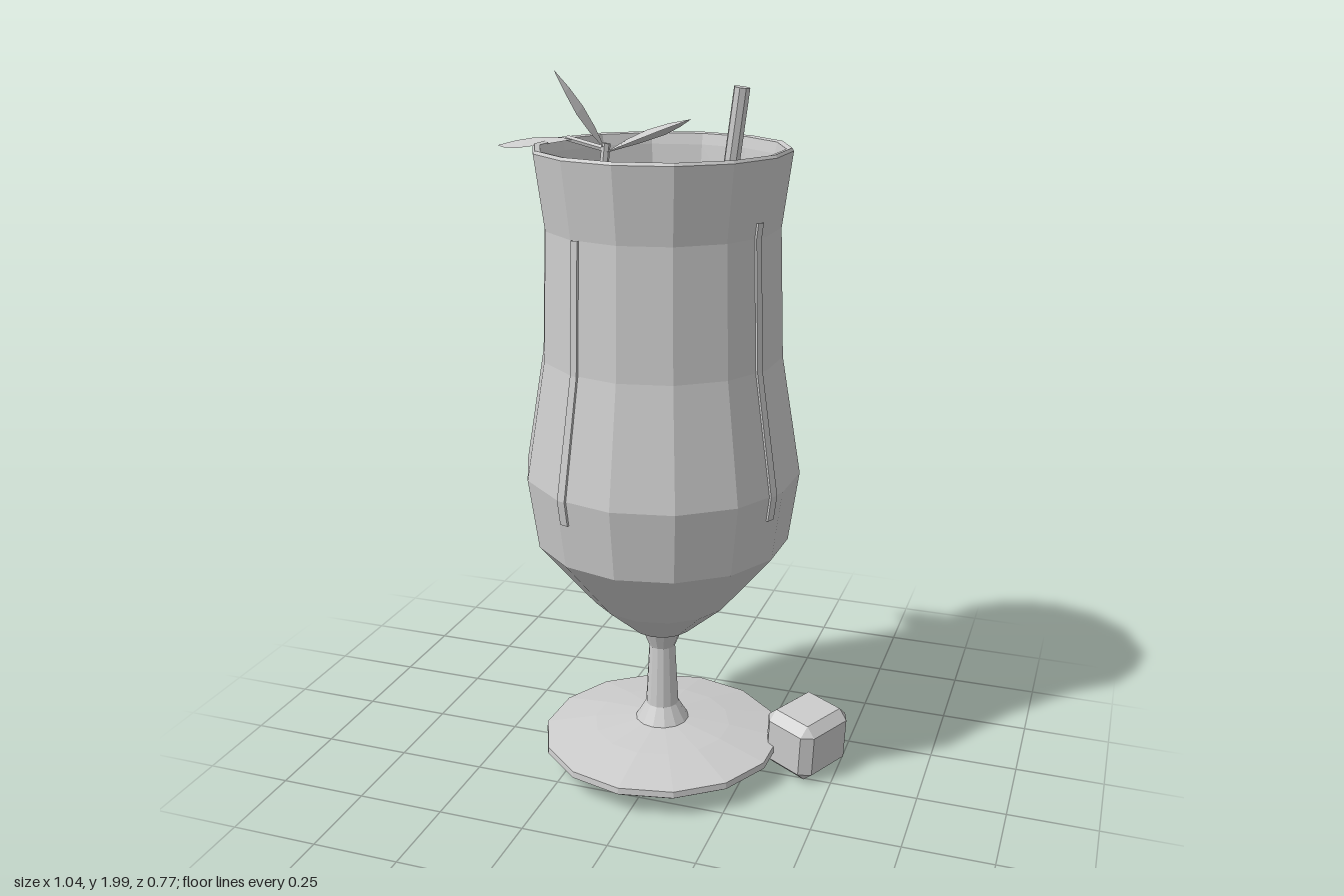
import * as THREE from 'three';
import { ConvexGeometry } from 'three/addons/geometries/ConvexGeometry.js';

const SIDES = 14;
const CX = -0.015;   // axis of the glass
const TURN = -0.03;  // rotation of the facets
const V = (x, y, z) => new THREE.Vector3(x, y, z);

const grey = new THREE.MeshStandardMaterial({ color: 0xcccccc, flatShading: true, side: THREE.DoubleSide });
grey.name = 'pale grey';

// Outer wall of the bowl as [radius, height]
const bowl = [[0.085, 0.43], [0.2, 0.53], [0.357, 0.72], [0.385, 0.92], [0.33, 1.25], [0.318, 1.6], [0.345, 1.8]];

function bowlRadius(y) {
  for (let i = 1; i < bowl.length; i++) {
    const [r0, y0] = bowl[i - 1], [r1, y1] = bowl[i];
    if (y <= y1) return r0 + (r1 - r0) * (y - y0) / (y1 - y0);
  }
  return bowl[bowl.length - 1][0];
}

function lathe(points) {
  return new THREE.LatheGeometry(points.map(([r, y]) => new THREE.Vector2(r, y)), SIDES, TURN);
}

// Joins equal rows of points into a surface
function loft(rows) {
  const n = rows[0].length, index = [];
  for (let i = 0; i < rows.length - 1; i++) {
    for (let j = 0; j < n - 1; j++) {
      const a = i * n + j, b = a + n;
      index.push(a, a + 1, b, a + 1, b + 1, b);
    }
  }
  const g = new THREE.BufferGeometry().setFromPoints(rows.flat());
  g.setIndex(index);
  g.computeVertexNormals();
  return g;
}

// Box with every edge and corner cut off
function chamferedBox(w, h, d, c) {
  const x = w / 2, y = h / 2, z = d / 2, pts = [];
  for (const i of [-1, 1]) for (const j of [-1, 1]) for (const k of [-1, 1]) {
    pts.push(V(i * x, j * (y - c), k * (z - c)), V(i * (x - c), j * y, k * (z - c)), V(i * (x - c), j * (y - c), k * z));
  }
  return new ConvexGeometry(pts);
}

// Pointed leaf folded along its midrib
function leaf(base, tip, side, half, fold, arch) {
  const along = tip.clone().sub(base).normalize();
  const across = side.clone().addScaledVector(along, -side.dot(along)).normalize();
  const up = along.clone().cross(across);
  if (up.y < 0) up.negate();
  const stations = [[0, 0.12], [0.25, 0.75], [0.5, 1], [0.75, 0.65], [1, 0]];
  return loft(stations.map(([t, w]) => {
    const mid = base.clone().lerp(tip, t).addScaledVector(up, arch * Math.sin(Math.PI * t));
    const edge = s => mid.clone().addScaledVector(across, s * half * w).addScaledVector(up, -fold * w);
    return [edge(-1), mid, edge(1)];
  }));
}

// Raised strip that follows the outside of the bowl
function strip(angle, yTop, yBottom) {
  const step = 2 * Math.PI / SIDES;
  const ys = [yBottom, ...bowl.map(p => p[1]).filter(y => y > yBottom && y < yTop), yTop];
  return loft(ys.map(y => {
    const point = (da, lift) => {
      const a = angle + da;
      const off = ((a - TURN) % step + step) % step - step / 2;
      const r = bowlRadius(y) * Math.cos(step / 2) / Math.cos(off) + lift;
      return V(r * Math.sin(a), y, r * Math.cos(a));
    };
    return [point(-0.03, -0.003), point(-0.03, 0.006), point(0.03, 0.006), point(0.03, -0.003)];
  }));
}

function rod(from, to, radius, sides) {
  const dir = to.clone().sub(from);
  const g = new THREE.CylinderGeometry(radius, radius, dir.length(), sides);
  g.applyQuaternion(new THREE.Quaternion().setFromUnitVectors(V(0, 1, 0), dir.normalize()));
  const m = from.clone().add(to).multiplyScalar(0.5);
  return g.translate(m.x, m.y, m.z);
}

export function createModel() {
  const model = new THREE.Group();
  const add = (name, geometry, parent = model) => {
    const mesh = new THREE.Mesh(geometry, grey);
    mesh.name = name;
    parent.add(mesh);
    return mesh;
  };

  // Footed glass: foot, stem, bowl, lip and inner wall
  const glass = new THREE.Group();
  glass.name = 'glass';
  glass.position.x = CX;
  model.add(glass);
  add('footAndStem', lathe([[0, 0.06], [0.335, 0.06], [0.35, 0.07], [0.348, 0.088], [0.2, 0.118], [0.078, 0.135],
    [0.048, 0.185], [0.038, 0.37], [0.062, 0.43], [0, 0.43]]), glass);
  add('bowl', lathe([[0, 0.425], ...bowl, [0.34, 1.808], [0.325, 1.805], [0.318, 1.775], [0.298, 1.6], [0.308, 1.25],
    [0.36, 0.92], [0.333, 0.73], [0.185, 0.56], [0, 0.47]]), glass);

  // Vertical strips around the bowl
  for (const [x, z, top, bottom] of [[0.35, 0.13, 1.64, 0.85], [0.14, -0.34, 1.76, 0.85], [-0.22, -0.28, 1.6, 0.9],
    [-0.34, 0.0, 1.7, 0.75], [-0.15, 0.33, 1.6, 0.85]]) {
    add('bowlStrip', strip(Math.atan2(x, z), top, bottom), glass);
  }

  // Drink filling the bowl
  add('drink', lathe([[0, 0.49], [0.175, 0.57], [0.325, 0.74], [0.35, 0.92], [0.298, 1.25], [0.29, 1.6], [0.282, 1.62], [0, 1.62]]), glass);

  // Ice cubes: one floating, one beside the foot
  const floating = add('floatingIce', chamferedBox(0.17, 0.18, 0.2, 0.03));
  floating.position.set(0.065, 1.56, -0.045);
  floating.rotation.set(0.06, -0.45, 0.05);
  const loose = add('looseIce', chamferedBox(0.175, 0.18, 0.2, 0.028));
  loose.position.set(0.405, 0.102, -0.08);
  loose.rotation.set(0.03, -0.47, -0.06);

  // Drinking straw
  add('straw', rod(V(0.09, 0.95, 0.075), V(0.225, 1.97, 0.085), 0.021, 8));

  // Herb sprig
  const sprig = new THREE.Group();
  sprig.name = 'sprig';
  model.add(sprig);
  add('sprigStem', rod(V(-0.2, 1.45, 0.03), V(-0.165, 1.81, 0.015), 0.012, 6), sprig);
  add('leafStalk', rod(V(-0.17, 1.795, 0.015), V(-0.29, 1.815, -0.02), 0.008, 5), sprig);
  add('leftLeaf', leaf(V(-0.27, 1.815, -0.015), V(-0.525, 1.78, -0.08), V(0.25, 0, -1), 0.085, 0.02, 0.012), sprig);
  add('upperLeaf', leaf(V(-0.17, 1.8, 0.015), V(-0.285, 2.0, 0.075), V(0.35, 0, 1), 0.062, 0.02, 0.012), sprig);
  add('rightLeaf', leaf(V(-0.16, 1.79, 0.015), V(0.085, 1.885, 0.06), V(-0.2, 0, 1), 0.08, 0.022, 0.015), sprig);

  return model;
}
